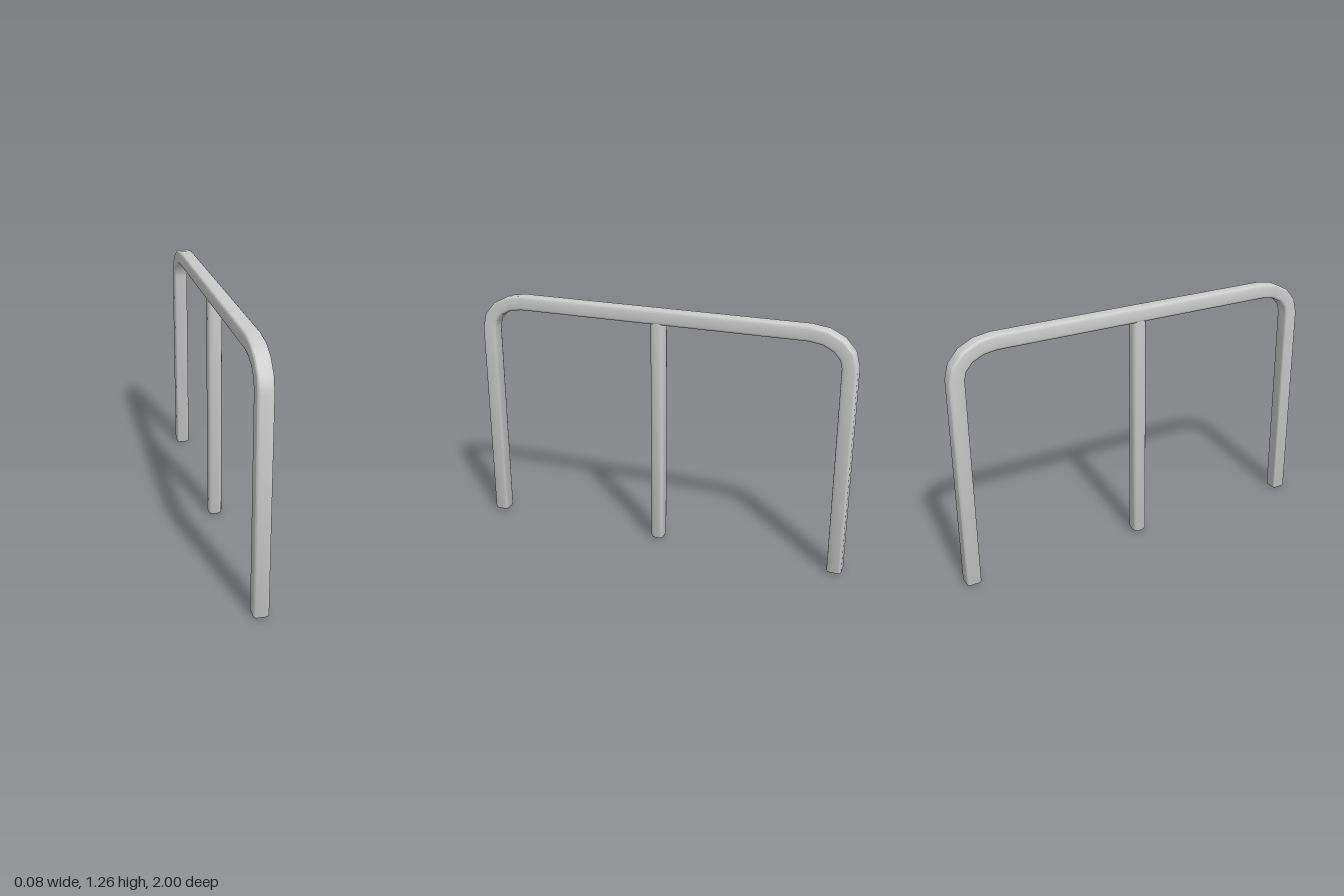
import * as THREE from 'three';
import { toCreasedNormals } from 'three/addons/utils/BufferGeometryUtils.js';

// Rounded square outline: [outward, sideways] offsets, counter-clockwise
function roundedSquare(half, radius, steps = 3) {
  const points = [];
  for (let corner = 0; corner < 4; corner++) {
    const mid = Math.PI / 4 + corner * Math.PI / 2;
    const ca = Math.sign(Math.cos(mid)) * (half - radius);
    const cb = Math.sign(Math.sin(mid)) * (half - radius);
    for (let i = 0; i <= steps; i++) {
      const t = corner * Math.PI / 2 + (i / steps) * Math.PI / 2;
      points.push([ca + radius * Math.cos(t), cb + radius * Math.sin(t)]);
    }
  }
  return points;
}

// Skin rings along a path in the yz plane; each ring is [z, y, outwardZ, outwardY, scale]
function sweep(rings, section) {
  const positions = [], index = [], n = section.length;
  for (const [z, y, nz, ny, s] of rings) {
    for (const [a, b] of section) positions.push(b * s, y + ny * a * s, z + nz * a * s);
  }
  for (let i = 0; i < rings.length - 1; i++) {
    for (let j = 0; j < n; j++) {
      const k = (j + 1) % n;
      const p = i * n + j, q = i * n + k;
      if (rings[i][4] > 0) index.push(p, q, p + n);
      if (rings[i + 1][4] > 0) index.push(q, q + n, p + n);
    }
  }
  const geometry = new THREE.BufferGeometry();
  geometry.setAttribute('position', new THREE.Float32BufferAttribute(positions, 3));
  geometry.setIndex(index);
  return toCreasedNormals(geometry, 0.6);
}

// Closed foot with a softened rim, from the ground upward
function foot(z, nz, half, r) {
  const s = (half - r) / half;
  return [
    [z, 0, nz, 0, 0],
    [z, 0, nz, 0, s],
    [z, r * 0.3, nz, 0, s + (1 - s) * 0.7],
    [z, r, nz, 0, 1],
  ];
}

export function createModel() {
  const group = new THREE.Group();
  const material = new THREE.MeshStandardMaterial({ color: 0xcccccc });
  const add = (name, geometry) => {
    const mesh = new THREE.Mesh(geometry, material);
    mesh.name = name;
    group.add(mesh);
  };

  // Bent rail: front half, then mirrored for the back
  const half = 0.0375, legZ = 1 - half, railY = 1.265 - half;
  const bendZ = 0.2, bendY = 0.15, bendSteps = 4;
  const front = foot(legZ, 1, half, 0.012);
  for (let i = 0; i <= bendSteps; i++) {
    const t = (i / bendSteps) * Math.PI / 2;
    const c = Math.cos(t), s = Math.sin(t);
    const normal = new THREE.Vector2(c / bendZ, s / bendY).normalize();
    front.push([legZ - bendZ * (1 - c), railY - bendY * (1 - s), normal.x, normal.y, 1]);
  }
  const back = front.map(([z, y, nz, ny, s]) => [-z, y, -nz, ny, s]).reverse();
  add('bentRail', sweep([...front, ...back], roundedSquare(half, 0.013)));

  // Middle post, its top buried in the rail
  const postHalf = 0.036, postTop = railY - 0.01;
  const post = foot(0, 1, postHalf, 0.02);
  post.push([0, postTop, 1, 0, 1], [0, postTop, 1, 0, 0]);
  add('middlePost', sweep(post, roundedSquare(postHalf, 0.021)));

  return group;
}
